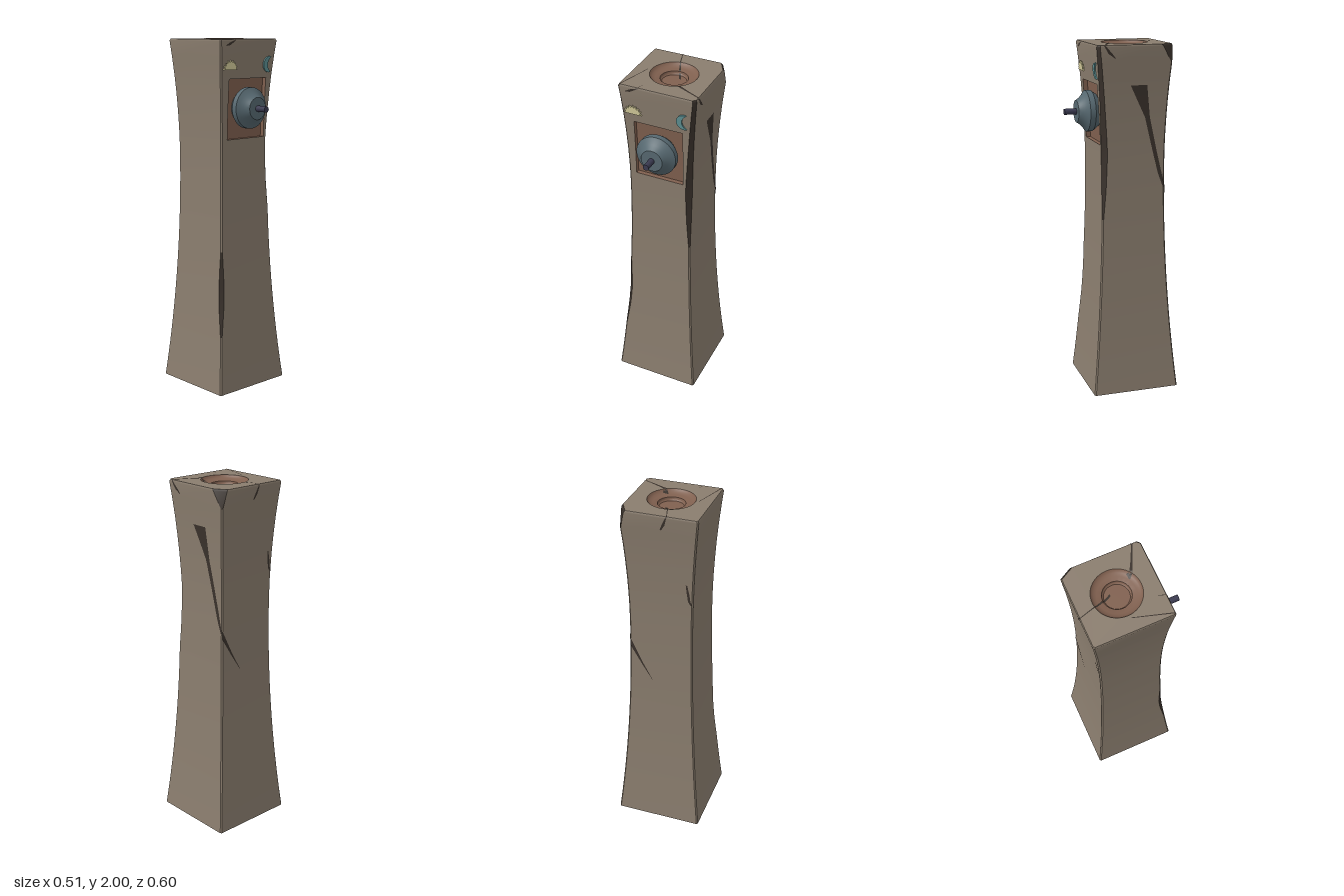
import * as THREE from 'three';
import { toCreasedNormals } from 'three/addons/utils/BufferGeometryUtils.js';

const Z0 = -0.047, BEVEL = 0.007, TOP = 2;
const NICHE = { w: 0.14, y0: 1.45, y1: 1.785, depth: 0.025 };
const mat = (color) => new THREE.MeshStandardMaterial({ color, side: THREE.DoubleSide });

// Linear lookup in a list of [key, value]
function lookup(table, k) {
  if (k <= table[0][0]) return table[0][1];
  for (let i = 1; i < table.length; i++) {
    const [a, va] = table[i - 1], [b, vb] = table[i];
    if (k <= b) return va + (vb - va) * (k - a) / (b - a);
  }
  return table[table.length - 1][1];
}

// Waisted half width of the pillar, with a small chamfer at the top
const half = (y) => 0.182 + (y < 1.3 ? 0.042 : 0.08) * (y - 1.3) ** 2 - Math.max(0, y - 1.99) * 0.6;

// Corner cut sizes by height: worn front corners and a broken back corner
const chipLeft = [[0.33, BEVEL], [0.5, 0.02], [0.62, 0.022], [0.82, BEVEL]];
const chipRight = [[1.03, BEVEL], [1.2, 0.02], [1.4, 0.029], [1.65, 0.022], [2, 0.016]];
const chipBackX = [[1.9, BEVEL], [2, 0.04]];
const chipBackZ = [[1.9, BEVEL], [2, 0.072]];

// Eight-point cross-section, from front left round to the right
function ring(y) {
  const h = half(y), l = lookup(chipLeft, y), r = lookup(chipRight, y);
  const bx = lookup(chipBackX, y), bz = lookup(chipBackZ, y), b = BEVEL;
  return [[-h + l, h], [h - r, h], [h, h - r], [h, -h + bz], [h - bx, -h], [-h + b, -h], [-h, -h + b], [-h, h - l]]
    .map(([x, z]) => new THREE.Vector3(x, y, z + Z0));
}

// Surface from a list of [left, right] points, going upwards
function strip(pairs) {
  const index = [];
  for (let i = 0; i < pairs.length - 1; i++) {
    const a = i * 2;
    index.push(a, a + 1, a + 3, a, a + 3, a + 2);
  }
  const geo = new THREE.BufferGeometry().setFromPoints(pairs.flat());
  geo.setIndex(index);
  geo.computeVertexNormals();
  return geo;
}

// Bowl profile, [radius, height below the top]
const bowl = [[0, -0.042], [0.066, -0.042], [0.073, -0.036], [0.075, -0.024], [0.08, -0.022],
  [0.1, -0.021], [0.116, -0.015], [0.126, -0.007], [0.13, 0]];

// Points just above each face, for the cracks
const E = 0.0015;
const onFace = {
  front: (u, v) => new THREE.Vector3(u, v, Z0 + half(v) + E),
  back: (u, v) => new THREE.Vector3(u, v, Z0 - half(v) - E),
  right: (u, v) => new THREE.Vector3(half(v) + E, v, u),
  top: (u, v) => new THREE.Vector3(u, TOP + E + lookup(bowl, Math.hypot(u, v - Z0)), v),
};

// Tapering crack through [u, v, width]; axis is the direction of its width
function crack(face, axis, pts) {
  const pairs = [];
  for (let i = 0; i < pts.length - 1; i++) {
    for (let k = i ? 1 : 0; k <= 10; k++) {
      const [u, v, w] = pts[i].map((p, j) => THREE.MathUtils.lerp(p, pts[i + 1][j], k / 10));
      pairs.push([-w / 2, w / 2].map((d) => onFace[face](u + (axis ? 0 : d), v + (axis ? d : 0))));
    }
  }
  return strip(pairs);
}

export function createModel() {
  const model = new THREE.Group();
  const stone = mat(0x8a7d6e), clay = mat(0x80604f), dark = mat(0x3a322c);
  const metal = mat(0x566870), steel = mat(0x3a3a50);
  const add = (name, geo, material, parent = model) => {
    const mesh = new THREE.Mesh(geo, material);
    mesh.name = name;
    parent.add(mesh);
    return mesh;
  };

  // Pillar sides, leaving out the niche in the front
  const pillar = new THREE.Group();
  pillar.name = 'pillar';
  model.add(pillar);
  const ys = [NICHE.y0, NICHE.y1, 0.33, 0.82, 1.03, 1.99];
  for (let i = 0; i <= 20; i++) ys.push(i / 10);
  ys.sort((a, b) => a - b);
  const names = ['front', 'frontRightEdge', 'rightSide', 'backRightEdge', 'back', 'backLeftEdge', 'leftSide', 'frontLeftEdge'];
  const side = (i, list) => strip(list.map((y) => [ring(y)[i], ring(y)[(i + 1) % 8]]));
  for (let i = 1; i < 8; i++) {
    if (i % 2 === 0 || i === 5) {
      add(names[i], side(i, ys), stone, pillar);
      continue;
    }
    // Worn stretch of the edge is dark, the rest is plain stone
    const [lo, hi] = { 1: [1.03, 2], 3: [1.9, 2], 7: [0.33, 0.82] }[i];
    add(names[i] + 'Lower', side(i, ys.filter((y) => y <= lo)), stone, pillar);
    add(names[i] + 'Chip', side(i, ys.filter((y) => y >= lo && y <= hi)), dark, pillar);
    if (hi < TOP) add(names[i] + 'Upper', side(i, ys.filter((y) => y >= hi)), stone, pillar);
  }
  const nicheYs = ys.filter((y) => y >= NICHE.y0 && y <= NICHE.y1);
  const at = (x, y, depth = 0) => new THREE.Vector3(x, y, Z0 + half(y) - depth);
  add('frontLower', side(0, ys.filter((y) => y <= NICHE.y0)), stone, pillar);
  add('frontUpper', side(0, ys.filter((y) => y >= NICHE.y1)), stone, pillar);
  add('frontBesideNiche', strip(nicheYs.map((y) => [ring(y)[0], at(-NICHE.w, y)])), stone, pillar);
  add('frontBesideNiche', strip(nicheYs.map((y) => [at(NICHE.w, y), ring(y)[1]])), stone, pillar);

  // Top with the bowl opening, and the base
  const outline = (y, s) => new THREE.Shape(ring(y).map((p) => new THREE.Vector2(p.x, s * p.z)));
  const topShape = outline(TOP, -1);
  topShape.holes.push(new THREE.Path().absarc(0, -Z0, 0.13, 0, Math.PI * 2, true));
  add('top', new THREE.ShapeGeometry(topShape, 24).rotateX(-Math.PI / 2), stone, pillar).position.y = TOP;
  add('base', new THREE.ShapeGeometry(outline(0, 1)).rotateX(Math.PI / 2), stone, pillar);

  // Two-step bowl in the top
  const bowlGeo = new THREE.LatheGeometry(bowl.map(([r, y]) => new THREE.Vector2(r, y)), 48);
  add('bowl', toCreasedNormals(bowlGeo, 0.7), clay).position.set(0, TOP, Z0);

  // Niche panel and its four walls
  const { w, y0, y1, depth } = NICHE;
  add('nichePanel', strip(nicheYs.map((y) => [at(-w, y, depth), at(w, y, depth)])), clay);
  add('nicheLeftWall', strip(nicheYs.map((y) => [at(-w, y), at(-w, y, depth)])), clay);
  add('nicheRightWall', strip(nicheYs.map((y) => [at(w, y, depth), at(w, y)])), clay);
  add('nicheFloor', strip([[at(-w, y0), at(w, y0)], [at(-w, y0, depth), at(w, y0, depth)]]), clay);
  add('nicheCeiling', strip([[at(-w, y1, depth), at(w, y1, depth)], [at(-w, y1), at(w, y1)]]), clay);

  // Flared knob with a stem
  const knob = new THREE.Group();
  knob.name = 'knob';
  knob.position.y = 1.622;
  model.add(knob);
  const knobProfile = [[0.085, 0.11], [0.115, 0.15], [0.115, 0.181], [0.098, 0.192], [0.083, 0.206],
    [0.071, 0.22], [0.062, 0.234], [0, 0.234]].map(([r, y]) => new THREE.Vector2(r, y));
  const knobGeo = new THREE.LatheGeometry(knobProfile, 40).rotateX(Math.PI / 2);
  add('knobBody', toCreasedNormals(knobGeo, 0.5), metal, knob);
  add('knobStem', new THREE.CylinderGeometry(0.017, 0.017, 0.08, 16).rotateX(Math.PI / 2), steel, knob).position.z = 0.263;

  // Sun and moon inlays, tilted with the face
  const inlay = (name, shape, x, y, color) => {
    const geo = new THREE.ExtrudeGeometry(shape, { depth: 0.014, bevelEnabled: false, curveSegments: 16 });
    const mesh = add(name, geo, mat(color));
    mesh.position.set(x, y, Z0 + half(y) - 0.006);
    mesh.rotation.x = 0.09;
  };
  const rays = [];
  for (let i = 0; i <= 16; i++) {
    const a = Math.PI * i / 16, r = i % 2 ? 0.041 : 0.052;
    rays.push(new THREE.Vector2(r * Math.cos(a), r * Math.sin(a)));
  }
  inlay('sunInlay', new THREE.Shape(rays), -0.14, 1.837, 0xd6cd9c);
  const moon = new THREE.Shape();
  moon.absarc(0, 0, 0.045, 1.3, Math.PI * 2 - 1.3, false);
  moon.quadraticCurveTo(-0.04, 0, 0.045 * Math.cos(1.3), 0.045 * Math.sin(1.3));
  inlay('moonInlay', moon, 0.155, 1.86, 0x5f9295);

  // Cracks: face, width axis, points of [u, v, width]
  [
    ['right', 0, [[-0.068, 1.78, 0.095], [-0.122, 1.6, 0.028], [-0.165, 1.42, 0.024], [-0.2, 1.28, 0.022], [-0.224, 1.2, 0.01]]],
    ['back', 1, [[0.18, 1.19, 0.05], [0.11, 1.06, 0.02], [0.05, 0.96, 0.003]]],
    ['back', 0, [[-0.15, 1.61, 0.008], [-0.158, 1.56, 0.014], [-0.165, 1.51, 0.014], [-0.175, 1.49, 0.008]]],
    ['back', 0, [[-0.048, 1.998, 0.006], [-0.03, 1.95, 0.016], [-0.015, 1.92, 0.008]]],
    ['top', 0, [[-0.05, -0.265, 0.004], [-0.025, -0.18, 0.006], [-0.002, -0.12, 0.012], [0.02, -0.074, 0.012]]],
    ['top', 0, [[-0.147, -0.035, 0.004], [-0.209, 0.167, 0.006]]],
    ['top', 0, [[-0.092, 0.13, 0.002], [-0.106, 0.167, 0.004]]],
    ['top', 1, [[0.213, 0.128, 0.008], [0.14, 0.094, 0.01], [0.068, 0.058, 0.018], [0.05, 0.044, 0.006]]],
    ['top', 1, [[0.05, 0.044, 0.006], [0.08, 0.045, 0.014]]],
    ['right', 0, [[0.132, 1.998, 0.008], [0.1, 1.955, 0.022], [0.072, 1.93, 0.006]]],
    ['front', 1, [[-0.106, 1.997, 0.004], [-0.15, 1.977, 0.016], [-0.178, 1.967, 0.004]]],
  ].forEach(([face, axis, pts]) => add('crack', crack(face, axis, pts), dark));

  return model;
}
